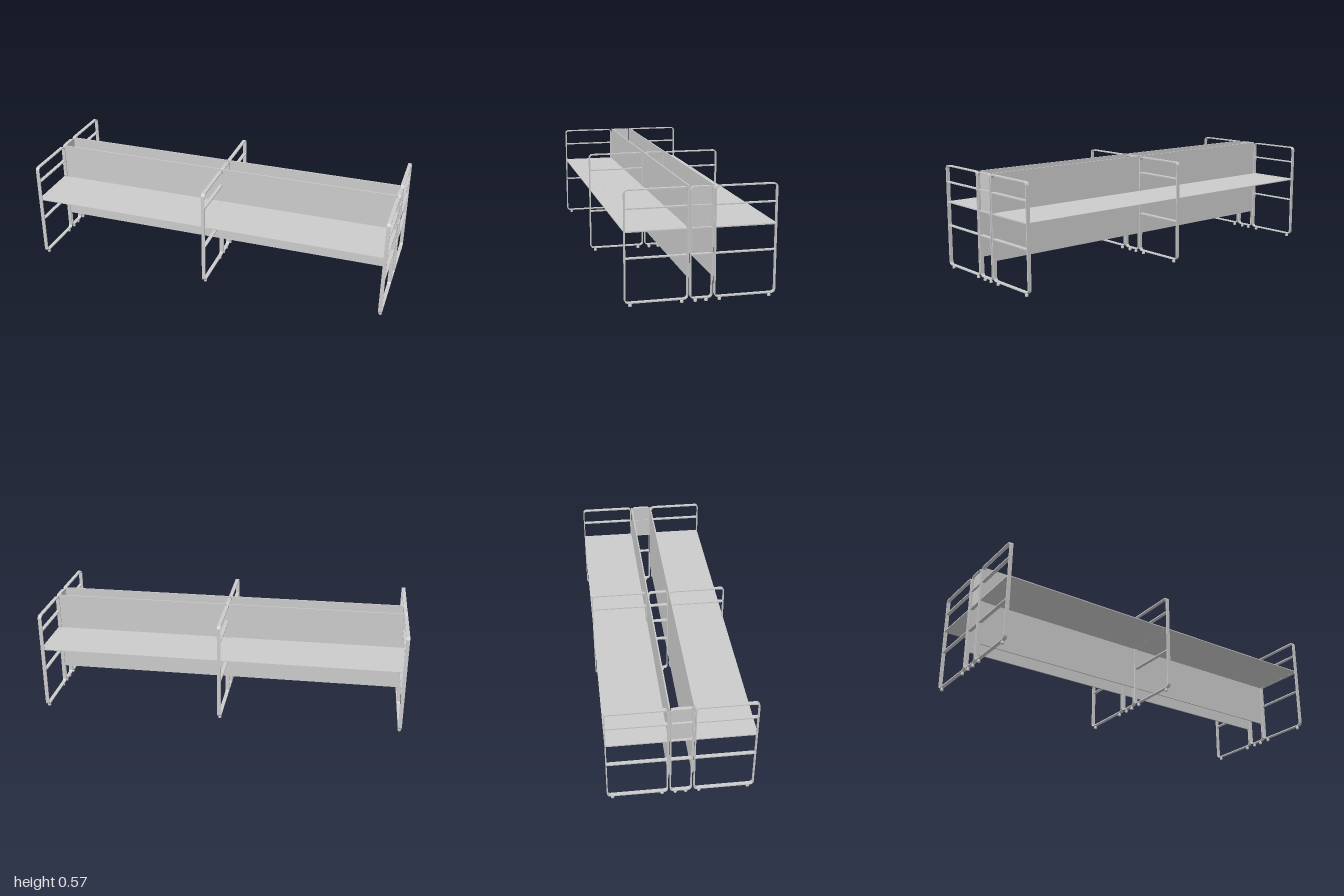
import * as THREE from 'three';

const grey = new THREE.MeshStandardMaterial({ color: 0xcccccc });
const W = 0.02, T = 0.006; // flat bar width and thickness
const Y0 = 0.017, Y1 = 0.567;

function box(name, x0, x1, y0, y1, z0, z1) {
  const m = new THREE.Mesh(new THREE.BoxGeometry(x1 - x0, y1 - y0, z1 - z0), grey);
  m.position.set((x0 + x1) / 2, (y0 + y1) / 2, (z0 + z1) / 2);
  m.name = name;
  return m;
}

function roundRect(p, x0, x1, y0, y1, r) {
  p.moveTo(x0 + r, y0);
  p.lineTo(x1 - r, y0);
  p.absarc(x1 - r, y0 + r, r, -Math.PI / 2, 0);
  p.lineTo(x1, y1 - r);
  p.absarc(x1 - r, y1 - r, r, 0, Math.PI / 2);
  p.lineTo(x0 + r, y1);
  p.absarc(x0 + r, y1 - r, r, Math.PI / 2, Math.PI);
  p.lineTo(x0, y0 + r);
  p.absarc(x0 + r, y0 + r, r, Math.PI, Math.PI * 1.5);
  return p;
}

// Foot with a narrow neck and a wider pad
const footGeometry = new THREE.LatheGeometry([
  [0, 0], [0.0075, 0], [0.009, 0.002], [0.009, 0.009], [0.008, 0.011],
  [0.005, 0.012], [0.005, 0.018], [0, 0.018],
].map(([x, y]) => new THREE.Vector2(x, y)), 16);

// Rounded loop frame with cross bars and two feet
function frame(x, z0, z1) {
  const g = new THREE.Group();
  g.name = 'loopFrame';
  const shape = roundRect(new THREE.Shape(), -z1, -z0, Y0, Y1, 0.02);
  shape.holes.push(roundRect(new THREE.Path(), -z1 + T, -z0 - T, Y0 + T, Y1 - T, 0.02 - T));
  const geo = new THREE.ExtrudeGeometry(shape, { depth: W, bevelEnabled: false, curveSegments: 8 });
  geo.translate(0, 0, -W / 2).rotateY(Math.PI / 2);
  const loop = new THREE.Mesh(geo, grey);
  loop.position.x = x;
  loop.name = 'frameLoop';
  g.add(loop);
  for (const y of [0.237, 0.366, 0.475])
    g.add(box('crossBar', x - W / 2, x + W / 2, y - T / 2, y + T / 2, z0 + T / 2, z1 - T / 2));
  for (const z of [z0 + 0.029, z1 - 0.029]) {
    const foot = new THREE.Mesh(footGeometry, grey);
    foot.position.set(x, 0, z);
    foot.name = 'foot';
    g.add(foot);
  }
  return g;
}

export function createModel() {
  const model = new THREE.Group();
  model.name = 'doubleDeskBench';

  // Three rows of frames: front, centre, back
  for (const x of [-0.99, 0, 0.99])
    for (const [z0, z1] of [[0.065, 0.376], [-0.056, 0.056], [-0.376, -0.065]])
      model.add(frame(x, z0, z1));

  // Desktops and screens, one per bay on each side
  for (const s of [-1, 1]) {
    for (const [x0, x1] of [[-0.985, -0.005], [0.005, 0.985]]) {
      const [a, b] = s > 0 ? [0.065, 0.376] : [-0.376, -0.065];
      model.add(box('desktop', x0, x1, 0.3635, 0.3685, a, b));
    }
    const [c, d] = s > 0 ? [0.057, 0.064] : [-0.064, -0.057];
    model.add(box('screenLeft', 0.001, 0.982, 0.12, 0.57, c, d));
    model.add(box('screenRight', -0.982, -0.001, 0.12, 0.57, c, d));
    // End panel inside the upper part of the centre frame
    model.add(box('endPanel', s * 0.985 - 0.003, s * 0.985 + 0.003, 0.364, 0.565, -0.055, 0.055));
  }
  return model;
}
